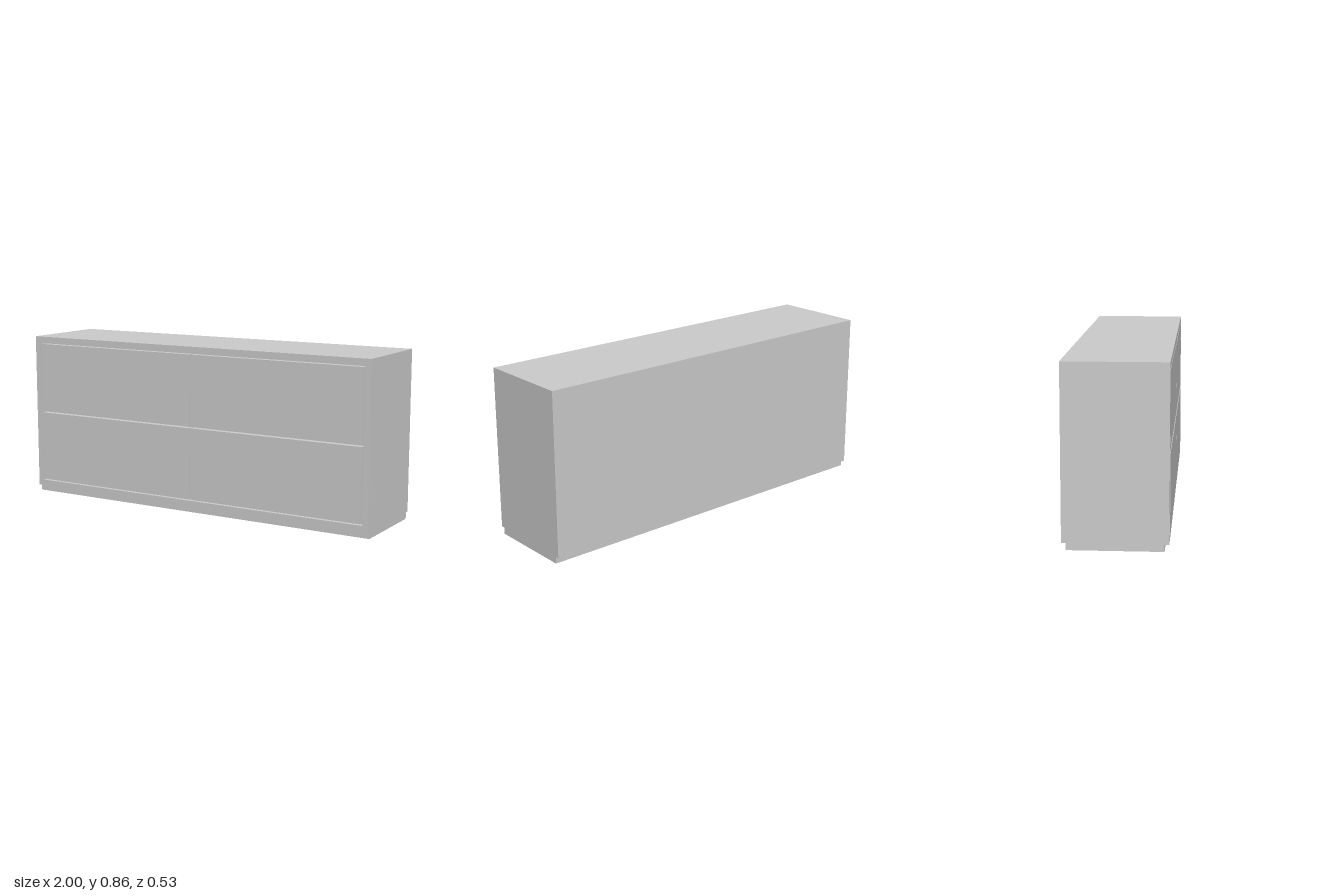
import * as THREE from 'three';

const L = 1.991, D = 0.491, H = 0.863; // length, depth, height
const T = 0.03;                         // panel thickness
const PLINTH = 0.034;                   // plinth height
const GAP = 0.007;                      // shadow gap around the drawer fronts

export function createModel() {
  const model = new THREE.Group();
  model.name = 'sideboard';
  const material = new THREE.MeshStandardMaterial({ color: 0xcccccc });

  // Box given by its lower and upper limits on each axis
  const panel = (name, [x0, x1], [y0, y1], [z0, z1]) => {
    const mesh = new THREE.Mesh(new THREE.BoxGeometry(x1 - x0, y1 - y0, z1 - z0), material);
    mesh.position.set((x0 + x1) / 2, (y0 + y1) / 2, (z0 + z1) / 2);
    mesh.name = name;
    model.add(mesh);
  };

  const hx = L / 2, hz = D / 2, ix = hx - T;
  const floorTop = PLINTH + T + 0.001, ceiling = H - 0.033;

  // Carcass
  panel('plinth', [-hx, hx], [0, PLINTH], [-hz + 0.021, hz - 0.021]);
  panel('bottomPanel', [-ix, ix], [PLINTH, floorTop], [-hz, hz]);
  panel('topPanel', [-ix, ix], [ceiling, H], [-hz, hz]);
  panel('rightSide', [-hx, -ix], [PLINTH, H], [-hz, hz]);
  panel('leftSide', [ix, hx], [PLINTH, H], [-hz, hz]);
  panel('backPanel', [-ix, ix], [floorTop, ceiling], [-hz, -hz + 0.02]);
  panel('divider', [-0.015, 0.015], [floorTop, ceiling], [-hz + 0.02, hz - 0.045]);

  // Drawer fronts, the lower pair standing slightly proud
  const rows = [
    { name: 'lowerDrawer', y: [floorTop + GAP, 0.445], z: hz + 0.002 },
    { name: 'upperDrawer', y: [0.452, ceiling - GAP], z: hz },
  ];
  for (const { name, y, z } of rows) {
    panel(name + 'Right', [-ix + GAP, -GAP / 2], y, [z - 0.035, z]);
    panel(name + 'Left', [GAP / 2, ix - GAP], y, [z - 0.035, z]);
  }

  // The whole piece stands at a slight angle
  model.rotation.y = 0.018;
  return model;
}
